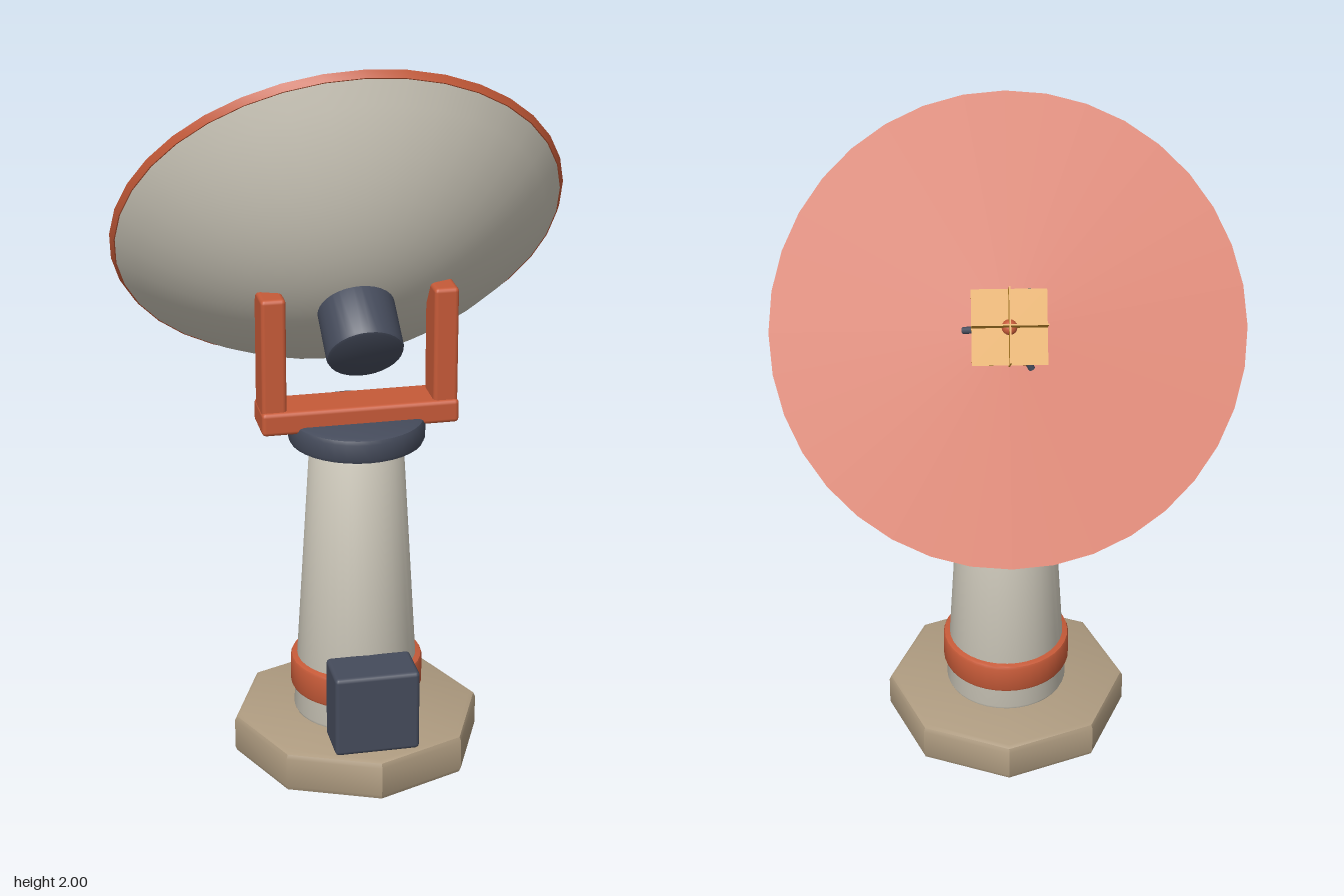
import * as THREE from 'three';
import { toCreasedNormals } from 'three/addons/utils/BufferGeometryUtils.js';
import { RoundedBoxGeometry } from 'three/addons/geometries/RoundedBoxGeometry.js';

const material = (name, color) => {
  const m = new THREE.MeshStandardMaterial({ color });
  m.name = name;
  return m;
};

export function createModel() {
  const cream = material('cream', 0xcfcabc);
  const orange = material('orange', 0xc65a38);
  const slate = material('slate', 0x454b5b);
  const tan = material('tan', 0xae9b80);
  const gold = material('gold', 0xd4982f);

  const model = new THREE.Group();
  model.name = 'dishAntenna';

  const add = (parent, name, geometry, mat, x = 0, y = 0, z = 0) => {
    const mesh = new THREE.Mesh(geometry, mat);
    mesh.name = name;
    mesh.position.set(x, y, z);
    parent.add(mesh);
    return mesh;
  };

  // Turned shape from [radius, height] points, listed bottom to top
  const turned = (points, sides, crease = 0.5) =>
    toCreasedNormals(new THREE.LatheGeometry(points.map(([r, y]) => new THREE.Vector2(r, y)), sides), crease);

  // Solid drum with bevelled rims
  const drum = (r0, r1, y0, y1, bevel, sides, crease) => turned([
    [0, y0], [r0 - bevel, y0], [r0 - bevel * 0.3, y0 + bevel * 0.3], [r0, y0 + bevel],
    [r1, y1 - bevel], [r1 - bevel * 0.3, y1 - bevel * 0.3], [r1 - bevel, y1], [0, y1],
  ], sides, crease);

  const box = (x0, x1, y0, y1, z0, z1, r = 0.012) =>
    new RoundedBoxGeometry(x1 - x0, y1 - y0, z1 - z0, 2, r)
      .translate((x0 + x1) / 2, (y0 + y1) / 2, (z0 + z1) / 2);

  // Pedestal
  const pedestal = new THREE.Group();
  pedestal.name = 'pedestal';
  pedestal.position.z = 0.137;
  model.add(pedestal);
  add(pedestal, 'base', drum(0.35, 0.35, 0, 0.12, 0.018, 8), tan);
  add(pedestal, 'column', drum(0.176, 0.13, 0.12, 0.925, 0.012, 36), cream);
  add(pedestal, 'band', drum(0.185, 0.185, 0.195, 0.288, 0.01, 36), orange);
  add(pedestal, 'turntable', drum(0.188, 0.188, 0.937, 1.01, 0.015, 36), slate);
  add(model, 'controlBox', box(-0.118, 0.118, 0.12, 0.355, 0.29, 0.43), slate);

  // Yoke
  const yoke = new THREE.Group();
  yoke.name = 'yoke';
  model.add(yoke);
  add(yoke, 'crossbar', box(-0.272, 0.272, 0.99, 1.056, 0.07, 0.205), orange);
  for (const side of [-1, 1]) {
    add(yoke, side > 0 ? 'leftArm' : 'rightArm', box(-0.034, 0.034, 1.0, 1.375, 0.082, 0.195), orange, side * 0.236);
  }

  // Dish, local +y points along its axis
  const dish = new THREE.Group();
  dish.name = 'dish';
  dish.position.set(0, 1.485, -0.117);
  dish.rotation.x = THREE.MathUtils.degToRad(-55);
  model.add(dish);

  const bowl = [];
  for (let i = 0; i <= 12; i++) {
    const r = 0.617 * i / 12;
    bowl.push([r, -0.02 - 0.29 * (1 - (r / 0.617) ** 2)]);
  }
  add(dish, 'bowl', turned(bowl, 36), cream);
  add(dish, 'rimAndFace', turned([[0, -0.02], [0.62, -0.02], [0.63, 0], [0, 0]], 36), orange);
  add(dish, 'motor', drum(0.105, 0.105, -0.452, -0.27, 0.01, 32), slate);

  // Feed hub with three struts
  const feed = new THREE.Group();
  feed.name = 'feed';
  dish.add(feed);
  add(feed, 'hub', drum(0.04, 0.026, 0, 0.1, 0.005, 20), slate);
  const top = new THREE.Vector3(0, 0.06, 0);
  for (let i = 0; i < 3; i++) {
    const a = i * Math.PI * 2 / 3;
    const foot = new THREE.Vector3(0.12 * Math.cos(a), 0, 0.12 * Math.sin(a));
    const axis = top.clone().sub(foot);
    const strut = add(feed, 'strut', new THREE.CylinderGeometry(0.012, 0.009, axis.length(), 10), slate);
    strut.position.copy(foot).add(top).multiplyScalar(0.5);
    strut.quaternion.setFromUnitVectors(new THREE.Vector3(0, 1, 0), axis.normalize());
  }

  // Three crossed square plates around a small ball
  const reflector = new THREE.Group();
  reflector.name = 'reflector';
  reflector.position.y = 0.115;
  feed.add(reflector);
  const size = 0.198, thin = 0.004;
  add(reflector, 'sidePlate', new THREE.BoxGeometry(thin, size, size), gold);
  add(reflector, 'facePlate', new THREE.BoxGeometry(size, thin, size), gold);
  add(reflector, 'crossPlate', new THREE.BoxGeometry(size, size, thin), gold);
  add(reflector, 'ball', new THREE.SphereGeometry(0.021, 16, 12), orange);

  return model;
}
